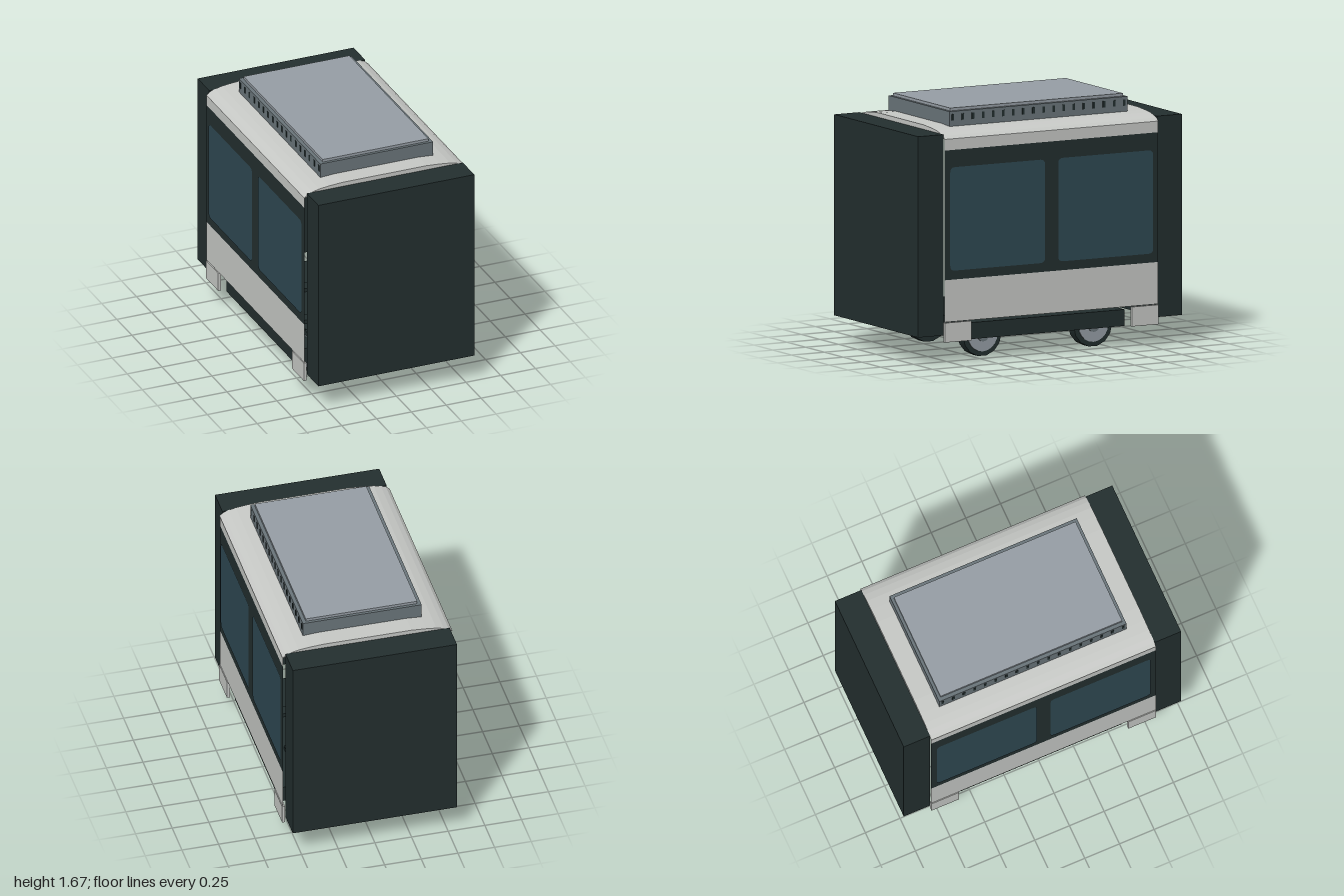
import * as THREE from 'three';

export function createModel() {
  const root = new THREE.Group();
  const mat = (name, color) => Object.assign(new THREE.MeshStandardMaterial({ color }), { name });
  const dark = mat('dark green grey', 0x232f2f);
  const light = mat('light grey', 0xc8cac7);
  const glass = mat('tinted glass', 0x2f4953);
  const steel = mat('steel grey', 0x6b767b);
  const pale = mat('pale steel', 0x979fa6);

  const add = (name, geo, material, x = 0, y = 0, z = 0) => {
    const m = new THREE.Mesh(geo, material);
    m.name = name;
    m.position.set(x, y, z);
    root.add(m);
    return m;
  };
  // Box given by its limits on each axis
  const box = (name, material, x0, x1, y0, y1, z0, z1) =>
    add(name, new THREE.BoxGeometry(x1 - x0, y1 - y0, z1 - z0), material,
      (x0 + x1) / 2, (y0 + y1) / 2, (z0 + z1) / 2);

  // End bulkheads
  for (const s of [-1, 1]) {
    add('endBulkhead', new THREE.BoxGeometry(1.12, 1.34, 0.19), dark, 0, 0.86, s * 0.905);
  }

  // Rounded window pane outline
  const pane = (w, h, r) => {
    const p = new THREE.Shape();
    const x = w / 2, y = h / 2;
    p.moveTo(-x + r, -y);
    p.lineTo(x - r, -y); p.quadraticCurveTo(x, -y, x, -y + r);
    p.lineTo(x, y - r); p.quadraticCurveTo(x, y, x - r, y);
    p.lineTo(-x + r, y); p.quadraticCurveTo(-x, y, -x, y - r);
    p.lineTo(-x, -y + r); p.quadraticCurveTo(-x, -y, -x + r, -y);
    return new THREE.ShapeGeometry(p, 4);
  };

  // Side walls: single outward sheets with bands and windows
  for (const s of [-1, 1]) {
    const sheet = (name, geo, material, x, y, z = 0) => {
      add(name, geo, material, s * x, y, z).rotation.y = s * Math.PI / 2;
    };
    const band = (name, material, y0, y1) =>
      sheet(name, new THREE.PlaneGeometry(1.62, y1 - y0), material, 0.578, (y0 + y1) / 2);
    band('lowerPanel', light, 0.28, 0.56);
    band('windowBand', dark, 0.56, 1.425);
    band('upperPanel', light, 1.425, 1.5);
    for (const z of [-0.41, 0.41]) {
      sheet('window', pane(0.72, 0.69, 0.035), glass, 0.582, 0.965, z);
      // Corner skirts hanging below the lower panel
      add('cornerSkirt', new THREE.BoxGeometry(0.02, 0.13, 0.2), light,
        s * 0.572, 0.21, Math.sign(z) * 0.71);
    }
  }

  // Curved roof
  const half = [[0.58, 1.5], [0.555, 1.52], [0.52, 1.533], [0.47, 1.545], [0.4, 1.553], [0.3, 1.56]];
  const roof = new THREE.Shape();
  roof.moveTo(-0.58, 1.5);
  half.forEach(([x, y]) => roof.lineTo(x, y));
  [...half].reverse().forEach(([x, y]) => roof.lineTo(-x, y));
  add('roof', new THREE.ExtrudeGeometry(roof, { depth: 1.62, bevelEnabled: false }), light, 0, 0, -0.81);

  // Roof equipment unit with a row of vents on each side
  box('roofUnit', steel, -0.405, 0.405, 1.55, 1.652, -0.675, 0.675);
  box('roofUnitLid', pale, -0.38, 0.38, 1.652, 1.671, -0.655, 0.655);
  for (const s of [-1, 1]) {
    for (let i = 0; i < 18; i++) {
      add('vent', new THREE.BoxGeometry(0.006, 0.042, 0.018), dark,
        s * 0.405, 1.612, -0.65 + i * 1.3 / 17);
    }
  }

  // Underframe
  box('underframe', dark, -0.535, 0.535, 0.145, 0.255, -0.58, 0.58);
  for (const z of [-0.21, 0.21]) box('mountBlock', dark, -0.4, 0.4, 0.255, 0.28, z - 0.04, z + 0.04);

  // Wheelsets
  const disc = (name, r, len, sides, material, x, z) => {
    const g = new THREE.CylinderGeometry(r, r, len, sides);
    g.rotateZ(Math.PI / 2);
    add(name, g, material, x, 0.145, z);
  };
  dark.flatShading = false;
  for (const z of [-0.42, 0.42]) {
    disc('axle', 0.03, 0.7, 12, steel, 0, z);
    for (const s of [-1, 1]) {
      disc('wheel', 0.145, 0.075, 14, dark, s * 0.357, z);
      disc('wheelDisc', 0.112, 0.012, 20, pale, s * 0.396, z);
      disc('wheelHub', 0.045, 0.016, 12, steel, s * 0.402, z);
    }
  }
  return root;
}
